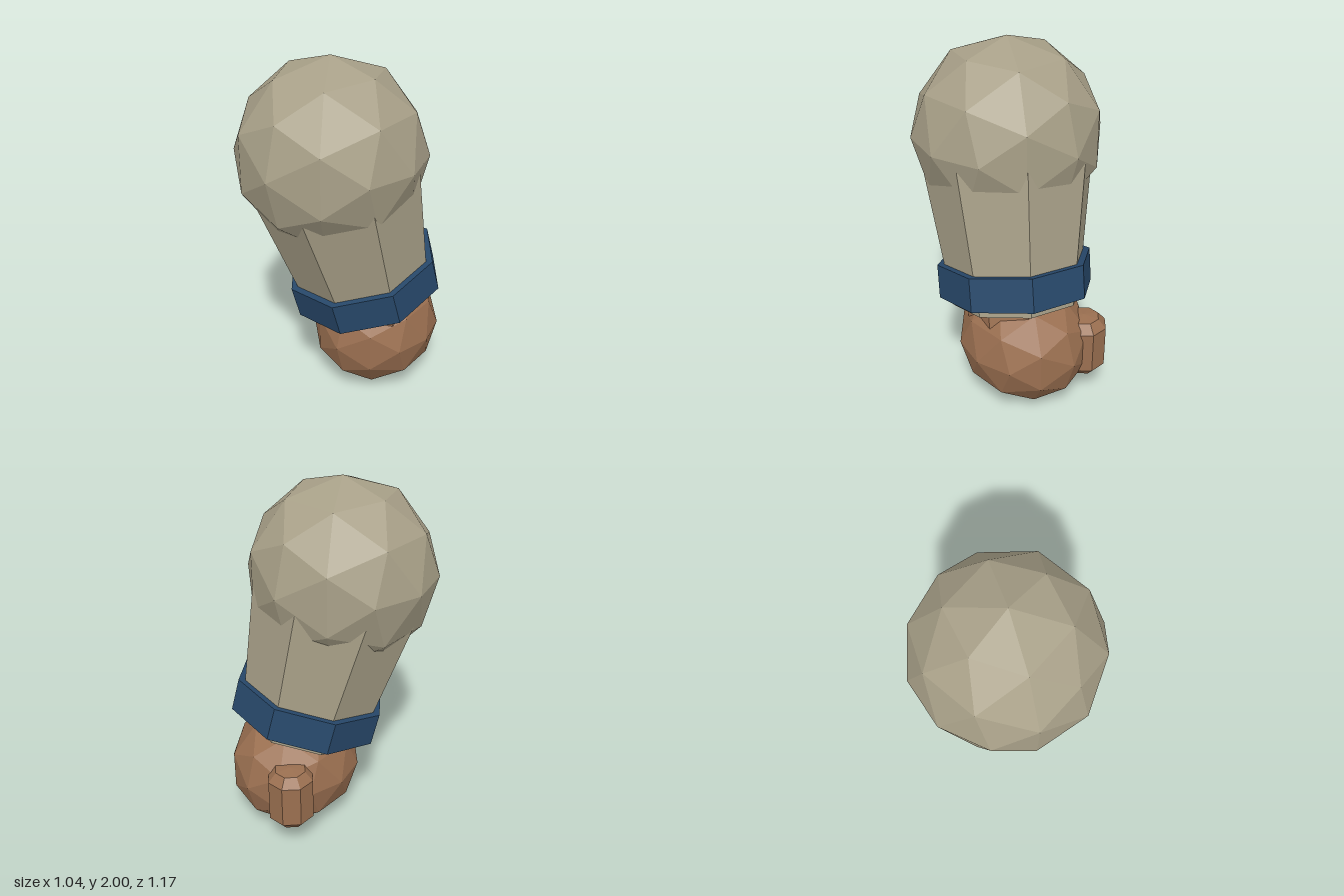
import * as THREE from 'three';

const paint = (color) => new THREE.MeshStandardMaterial({ color, flatShading: true });

export function createModel() {
  const group = new THREE.Group();
  const cloth = paint(0xa8a088), band = paint(0x27486a), skin = paint(0x9a6f50);

  const add = (name, geometry, material) => {
    const mesh = new THREE.Mesh(geometry, material);
    mesh.name = name;
    group.add(mesh);
    return mesh;
  };

  // Arm axis, from the shoulder down to the sleeve opening
  const shoulder = new THREE.Vector3(-0.01, 1.485, 0.07);
  const opening = new THREE.Vector3(0.11, 0.58, -0.135);
  const up = shoulder.clone().sub(opening).normalize();
  const length = shoulder.distanceTo(opening);
  const tilt = new THREE.Quaternion().setFromUnitVectors(new THREE.Vector3(0, 1, 0), up);
  const twist = THREE.MathUtils.degToRad(14);

  // Eight-sided section along the arm, between two distances above the opening
  const section = (name, from, to, rBottom, rTop, material) => {
    const geometry = new THREE.CylinderGeometry(rTop, rBottom, to - from, 8, 1, false, twist);
    const mesh = add(name, geometry, material);
    mesh.quaternion.copy(tilt);
    mesh.position.copy(opening).addScaledVector(up, (from + to) / 2);
  };

  // Faceted balls for shoulder and fist
  const ball = (name, position, scale, material) => {
    const mesh = add(name, new THREE.IcosahedronGeometry(1, 1), material);
    mesh.position.copy(position);
    mesh.scale.set(...scale);
  };

  ball('shoulder', shoulder, [0.515, 0.515, 0.515], cloth);
  section('sleeve', 0, length, 0.36, 0.487, cloth);
  section('cuff', 0.05, 0.235, 0.43, 0.43, band);
  section('wrist', -0.1, 0.1, 0.28, 0.28, skin);
  ball('fist', new THREE.Vector3(0.113, 0.35, -0.2), [0.357, 0.35, 0.385], skin);

  // Thumb: upright eight-sided peg with bevelled ends
  const profile = [[0, -0.18], [0.085, -0.17], [0.13, -0.12], [0.13, 0.12], [0.085, 0.17], [0, 0.18]];
  const thumb = add('thumb', new THREE.LatheGeometry(profile.map(([r, y]) => new THREE.Vector2(r, y)), 8), skin);
  thumb.position.set(-0.095, 0.345, -0.455);
  thumb.rotation.y = Math.PI / 8;

  return group;
}
